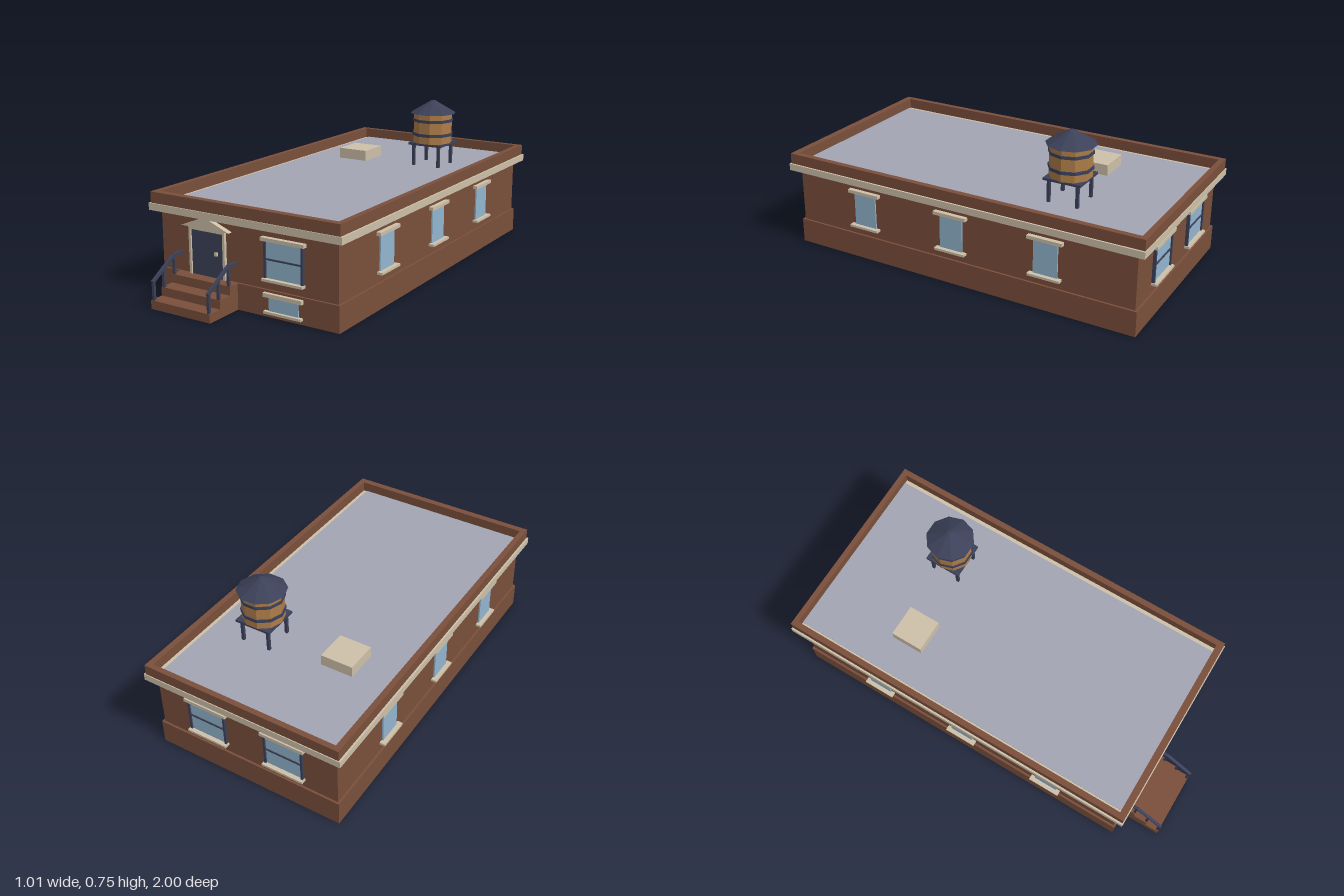
import * as THREE from 'three';

const mat = (name, color) => Object.assign(new THREE.MeshStandardMaterial({ color }), { name });

export function createModel() {
  const brick = mat('brick', 0x7a4f3b);
  const stone = mat('stone', 0xcdc0a9);
  const glass = mat('glass', 0x92b5cf);
  const iron = mat('dark iron', 0x3c4159);
  const wood = mat('wood', 0xae7d49);
  const roofing = mat('roofing', 0xa2a4b3);

  const model = new THREE.Group();
  model.name = 'building';

  const add = (parent, name, geometry, material) => {
    const mesh = new THREE.Mesh(geometry, material);
    mesh.name = name;
    parent.add(mesh);
    return mesh;
  };
  // Box given by its limits on each axis
  const box = (parent, name, material, [x0, x1], [y0, y1], [z0, z1]) => {
    const mesh = add(parent, name, new THREE.BoxGeometry(x1 - x0, y1 - y0, z1 - z0), material);
    mesh.position.set((x0 + x1) / 2, (y0 + y1) / 2, (z0 + z1) / 2);
    return mesh;
  };
  const group = (name, x, y, z, turn = 0) => {
    const g = new THREE.Group();
    g.name = name;
    g.position.set(x, y, z);
    g.rotation.y = turn;
    model.add(g);
    return g;
  };

  // Walls, cornice and flat roof
  box(model, 'foundation', brick, [-0.475, 0.475], [0, 0.12], [-0.968, 0.81]);
  box(model, 'walls', brick, [-0.465, 0.465], [0.12, 0.388], [-0.958, 0.8]);
  box(model, 'cornice', stone, [-0.505, 0.505], [0.386, 0.419], [-1, 0.84]);
  box(model, 'roof', roofing, [-0.449, 0.449], [0.417, 0.422], [-0.973, 0.803]);

  // Parapet: a rectangular ring
  const rect = (target, hx, z0, z1) => target.moveTo(-hx, -z1).lineTo(hx, -z1).lineTo(hx, -z0).lineTo(-hx, -z0).closePath();
  const ring = rect(new THREE.Shape(), 0.496, -0.996, 0.835);
  ring.holes.push(rect(new THREE.Path(), 0.468, -0.97, 0.802));
  const parapet = new THREE.ExtrudeGeometry(ring, { depth: 0.051, bevelEnabled: false });
  add(model, 'parapet', parapet.rotateX(-Math.PI / 2), brick).position.y = 0.419;

  box(model, 'roofHatch', stone, [-0.285, -0.125], [0.42, 0.475], [-0.55, -0.39]);

  // Windows: built facing +z with the wall at z = 0
  const window = (name, x, z, turn, half, sash) => {
    const g = group(name, x, 0, z, turn);
    box(g, 'pane', glass, [-half, half], [0.165, 0.338], [-0.002, 0.007]);
    const lintel = half + (sash ? 0.02 : 0.026);
    box(g, 'lintel', stone, [-lintel, lintel], [0.335, 0.351], [-0.002, 0.022]);
    box(g, 'sill', stone, [-lintel + 0.006, lintel - 0.006], [0.161, 0.172], [-0.002, 0.027]);
    if (!sash) return;
    for (const s of [-1, 1]) {
      box(g, 'jamb', iron, [s * 0.094 - 0.005, s * 0.094 + 0.005], [0.17, 0.337], [-0.002, 0.014]);
    }
    box(g, 'meetingRail', iron, [-0.09, 0.09], [0.252, 0.259], [0, 0.012]);
  };
  window('frontWindow', 0.2, 0.8, 0, 0.09, true);
  for (const x of [-0.2, 0.2]) window('backWindow', x, -0.958, Math.PI, 0.09, true);
  for (const z of [0.42, -0.058, -0.537]) {
    window('leftWindow', 0.465, z, Math.PI / 2, 0.059, false);
    window('rightWindow', -0.465, z, -Math.PI / 2, 0.059, false);
  }

  // Basement window
  const basement = group('basementWindow', 0.2, 0, 0.81);
  box(basement, 'pane', glass, [-0.075, 0.075], [0.025, 0.095], [-0.002, 0.005]);
  box(basement, 'lintel', stone, [-0.099, 0.099], [0.092, 0.11], [-0.002, 0.016]);
  box(basement, 'sill', stone, [-0.096, 0.096], [0.019, 0.03], [-0.002, 0.018]);

  // Door with surround and pediment
  const door = group('entrance', -0.204, 0, 0.8);
  box(door, 'door', iron, [-0.088, 0.088], [0.12, 0.327], [-0.002, 0.007]);
  for (const s of [-1, 1]) {
    box(door, 'doorJamb', stone, [s * 0.093 - 0.006, s * 0.093 + 0.006], [0.12, 0.34], [-0.002, 0.014]);
  }
  box(door, 'doorHead', stone, [-0.088, 0.088], [0.325, 0.34], [-0.002, 0.014]);
  box(door, 'doorKnob', stone, [0.043, 0.058], [0.223, 0.238], [0.005, 0.018]);
  const gable = new THREE.Shape();
  gable.moveTo(-0.131, 0.339).lineTo(0.131, 0.339).lineTo(0.012, 0.386).lineTo(-0.012, 0.386);
  add(door, 'pediment', new THREE.ExtrudeGeometry(gable, { depth: 0.024, bevelEnabled: false }), stone);

  // Front steps
  [1, 0.932, 0.863].forEach((front, i) => {
    box(model, 'step', brick, [-0.366, -0.042], [i * 0.04, (i + 1) * 0.04], [0.8, front]);
  });

  // Handrails
  for (const x of [-0.354, -0.052]) {
    const rail = group('handrail', x, 0, 0);
    [[0.992, 0.04, 0.125], [0.926, 0.08, 0.167], [0.857, 0.12, 0.21]].forEach(([z, y0, y1]) => {
      box(rail, 'railPost', iron, [-0.006, 0.006], [y0, y1], [z - 0.006, z + 0.006]);
    });
    box(rail, 'railTop', iron, [-0.007, 0.007], [0.202, 0.214], [0.8, 0.864]);
    const slope = add(rail, 'railSlope', new THREE.BoxGeometry(0.014, 0.012, 0.168), iron);
    slope.position.set(0, 0.166, 0.927);
    slope.rotation.x = Math.atan2(0.085, 0.137);
  }

  // Water tower
  const tower = group('waterTower', 0.2, 0, -0.515);
  for (const x of [-0.07, 0.07]) for (const z of [-0.07, 0.07]) {
    box(tower, 'towerLeg', iron, [x - 0.007, x + 0.007], [0.42, 0.532], [z - 0.007, z + 0.007]);
  }
  box(tower, 'platform', iron, [-0.091, 0.091], [0.529, 0.54], [-0.091, 0.091]);
  const drum = (name, material, top, bottom, y0, y1) => {
    const geometry = new THREE.CylinderGeometry(top, bottom, y1 - y0, 10).rotateY(Math.PI / 2).toNonIndexed();
    geometry.computeVertexNormals();
    add(tower, name, geometry, material).position.y = (y0 + y1) / 2;
  };
  drum('tank', wood, 0.098, 0.098, 0.54, 0.692);
  drum('tankHoop', iron, 0.103, 0.103, 0.576, 0.591);
  drum('tankHoop', iron, 0.103, 0.103, 0.648, 0.662);
  drum('tankRoof', iron, 0.01, 0.116, 0.69, 0.753);

  return model;
}
